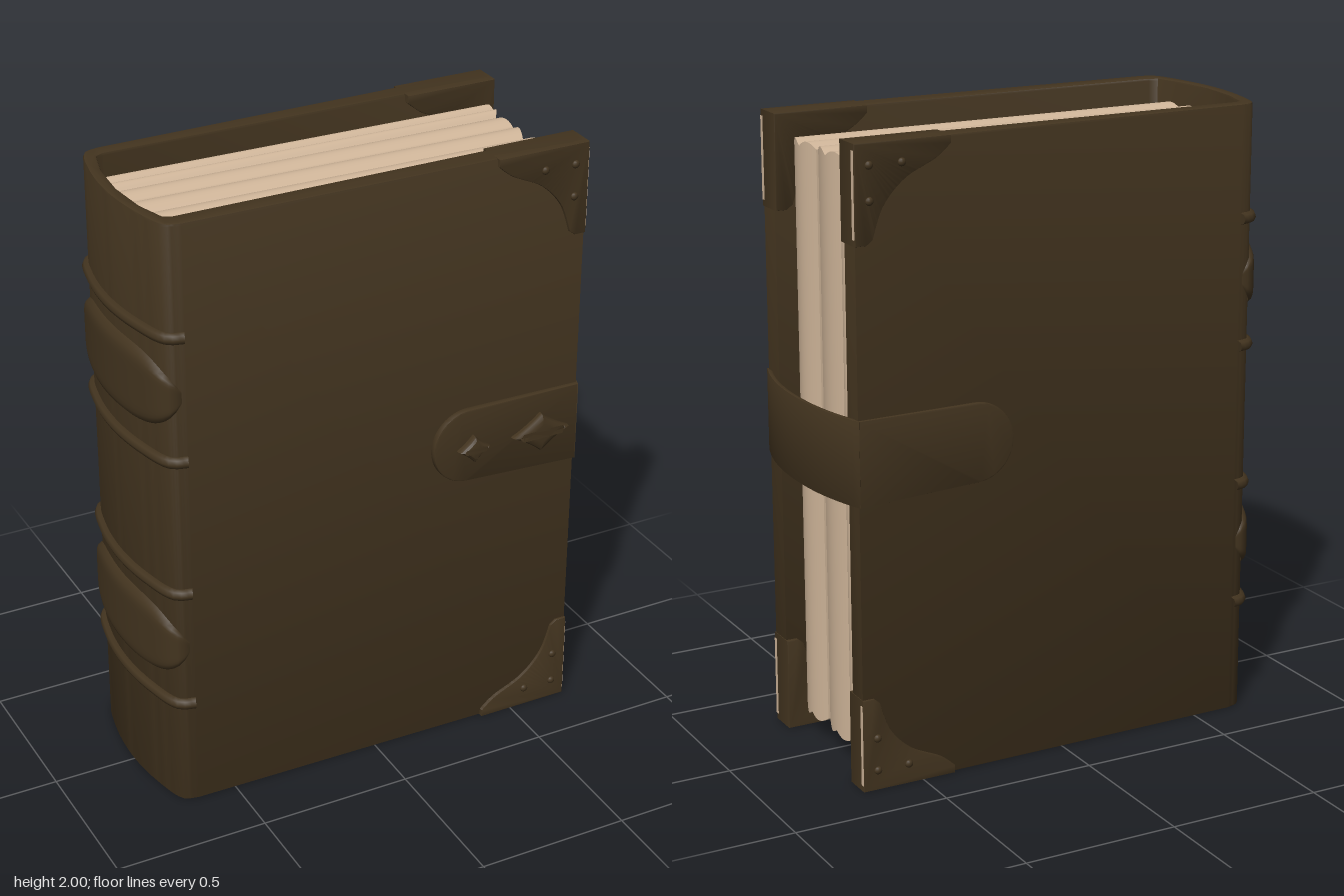
import * as THREE from 'three';
import { toCreasedNormals } from 'three/addons/utils/BufferGeometryUtils.js';
import { ParametricGeometry } from 'three/addons/geometries/ParametricGeometry.js';

const leather = new THREE.MeshStandardMaterial({ color: 0x43341f });
leather.name = 'dark leather';
const leatherThin = leather.clone();
leatherThin.side = THREE.DoubleSide;
const paper = new THREE.MeshStandardMaterial({ color: 0xcfb599 });
paper.name = 'aged paper';

const lerp = THREE.MathUtils.lerp;
const v2 = (x, y) => new THREE.Vector2(x, y);

// Rounded spine outline, seen from above as (x, z), from front to back
const spine = new THREE.CatmullRomCurve3([
  [-0.63, 0.288], [-0.675, 0.272], [-0.713, 0.15], [-0.73, -0.02],
  [-0.713, -0.19], [-0.675, -0.308], [-0.63, -0.325],
].map(([x, z]) => new THREE.Vector3(x, 0, z)));

export function createModel() {
  const book = new THREE.Group();
  book.name = 'book';

  const add = (name, geometry, material = leather) => {
    const mesh = new THREE.Mesh(geometry, material);
    mesh.name = name;
    book.add(mesh);
    return mesh;
  };

  // Extrudes an outline from z0 to z1 with softened edges
  const slab = (shape, z0, z1, bevel = 0.006) => {
    const g = new THREE.ExtrudeGeometry(shape, {
      depth: z1 - z0 - 2 * bevel, bevelThickness: bevel, bevelSize: bevel,
      bevelOffset: -bevel, bevelSegments: 2, curveSegments: 16,
    });
    g.translate(0, 0, z0 + bevel);
    return toCreasedNormals(g, 0.6);
  };

  // Extrudes an outline given as (x, z) upward from y0 to y1
  const upright = (points, y0, y1, bevel) =>
    slab(new THREE.Shape(points.map(([x, z]) => v2(x, -z))), y0, y1, bevel).rotateX(-Math.PI / 2);

  // Cover: both boards and the spine in one U-shaped section
  const outer = spine.getPoints(30).map((p) => [p.x, p.z]);
  add('cover', upright([
    [0.7, 0.305], ...outer, [0.7, -0.342],
    [0.7, -0.272], [-0.63, -0.275], [-0.655, -0.262], [-0.683, -0.16], [-0.695, -0.02],
    [-0.683, 0.12], [-0.655, 0.215], [-0.63, 0.228], [0.7, 0.225],
  ], 0, 2, 0.008));

  // Page bundles: boxes with curved spine side, bulging edges
  const bundles = [
    { left: [0.01, 0.2], right: [0.04, 0.2], end: 0.662 },
    { left: [-0.17, 0.008], right: [-0.145, 0.037], end: 0.657 },
    { left: [-0.272, -0.173], right: [-0.245, -0.15], end: 0.67 },
  ];
  bundles.forEach(({ left, right, end }, i) => {
    const g = new THREE.BoxGeometry(1, 1, 1, 24, 1, 24);
    const p = g.attributes.position;
    for (let k = 0; k < p.count; k++) {
      const u = p.getX(k) + 0.5;
      const w = p.getZ(k) + 0.5;
      const z = lerp(lerp(left[0], left[1], w), lerp(right[0], right[1], w), u);
      const x0 = -0.65 - 0.035 * (1 - ((z + 0.03) / 0.245) ** 2);
      const x1 = end - 0.02 * (1 - Math.sin(Math.PI * w));
      const half = 0.932 - 0.018 * (1 - Math.abs(Math.sin(2 * Math.PI * w)));
      p.setXYZ(k, lerp(x0, x1, u), 1 + Math.sign(p.getY(k)) * half, z);
    }
    g.computeVertexNormals();
    add('pageBundle' + (i + 1), g, paper);
  });

  // Raised bands across the spine
  for (const y of [0.37, 0.77, 1.23, 1.64]) {
    add('spineBand', new THREE.TubeGeometry(spine, 40, 0.019, 8)).position.y = y;
  }

  // Domed plaques wrapped around the spine, pointed at both ends
  for (const y of [0.575, 1.445]) {
    const g = new ParametricGeometry((u, v, target) => {
      const s = 2 * u - 1;
      const t = 2 * v - 1;
      const at = lerp(0.02, 0.98, u);
      const p = spine.getPointAt(at);
      const d = spine.getTangentAt(at);
      const lift = 0.022 * (1 - t ** 8) * (1 - s ** 8) + 0.001;
      const half = 0.128 * Math.max(0.04, 1 - Math.abs(s) ** 3.5) ** 0.6;
      target.set(p.x + d.z * lift, y + t * half, p.z - d.x * lift);
    }, 40, 16);
    add('spinePlaque', g, leatherThin);
  }

  // Corner guards with rivets, on both boards, top and bottom
  for (const front of [true, false]) {
    for (const top of [true, false]) {
      const flip = (y) => (top ? y : 2 - y);
      const z0 = front ? 0.212 : -0.348;
      const z1 = front ? 0.314 : -0.25;
      const face = front ? z1 : z0;
      const shape = new THREE.Shape();
      shape.moveTo(0.702, flip(2));
      shape.lineTo(0.39, flip(2));
      shape.lineTo(0.39, flip(1.975));
      shape.splineThru([[0.44, 1.935], [0.54, 1.885], [0.61, 1.81], [0.645, 1.715]]
        .map(([x, y]) => v2(x, flip(y))));
      shape.lineTo(0.665, flip(1.7));
      shape.lineTo(0.702, flip(1.7));
      add('cornerGuard', slab(shape, z0, z1, 0.004));
      for (const [x, y] of [[0.55, 1.935], [0.655, 1.935], [0.655, 1.83]]) {
        const rivet = add('cornerRivet', new THREE.SphereGeometry(0.013, 12, 8));
        rivet.position.set(x, flip(y), face);
        rivet.scale.z = 0.7;
      }
      // Pale worn edge along the guard
      const edge = add('guardEdge', new THREE.BoxGeometry(0.004, 0.26, 0.012), paper);
      edge.position.set(0.702, flip(1.85), front ? 0.304 : -0.338);
    }
  }

  // Strap: a rounded tongue on each board joined by a bowed band
  const tongue = new THREE.Shape();
  tongue.moveTo(0.7, 0.912);
  tongue.lineTo(0.7, 1.18);
  tongue.lineTo(0.31, 1.182);
  tongue.absarc(0.31, 1.057, 0.125, Math.PI / 2, Math.PI * 1.5, false);
  add('strapFront', slab(tongue, 0.295, 0.32, 0.004));
  add('strapBack', slab(tongue, -0.35, -0.33, 0.004));
  const bow = (x, half, bulge) => Array.from({ length: 25 }, (_, i) => {
    const s = (i / 24) * 2 - 1;
    return [x + bulge * (1 - Math.abs(s) ** 2.2), -0.015 - s * half];
  });
  add('strapBand', upright([...bow(0.7, 0.335, 0.056), ...bow(0.69, 0.322, 0.054).reverse()],
    0.912, 1.18, 0.002));

  // Diamond studs with hollowed sides on the front tongue
  for (const [x, w, h] of [[0.32, 0.056, 0.046], [0.56, 0.102, 0.066]]) {
    const shape = new THREE.Shape();
    shape.moveTo(w, 0);
    for (const [cx, cy, px, py] of [[1, 1, 0, h], [-1, 1, -w, 0], [-1, -1, 0, -h], [1, -1, w, 0]]) {
      shape.quadraticCurveTo(cx * w * 0.42, cy * h * 0.42, px, py);
    }
    const g = new THREE.ExtrudeGeometry(shape, {
      depth: 0.008, bevelThickness: 0.018, bevelSize: h * 0.4, bevelOffset: -h * 0.4,
      bevelSegments: 3, curveSegments: 6,
    });
    add('strapStud', toCreasedNormals(g, 0.5)).position.set(x, 1.05, 0.324);
  }

  return book;
}
